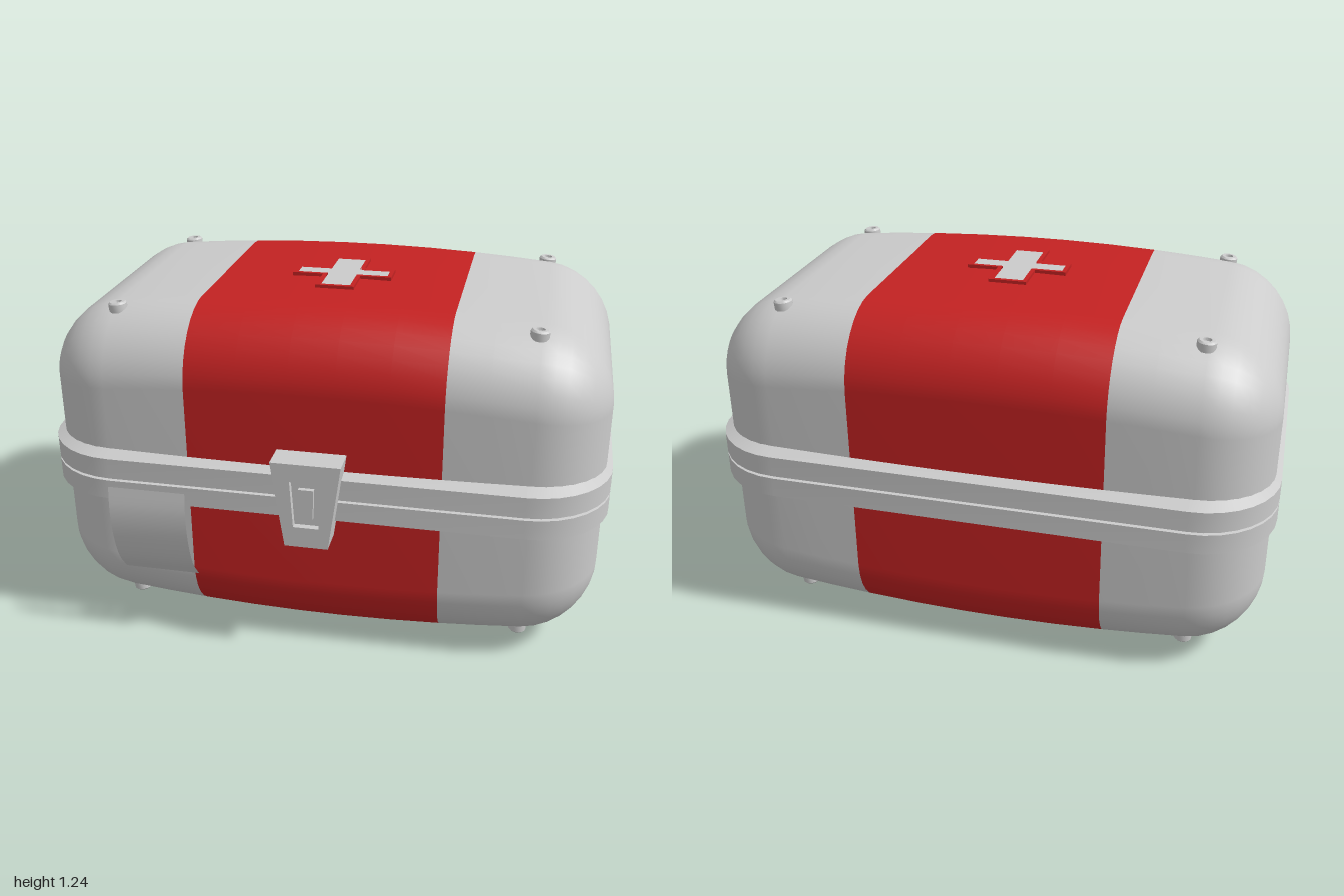
import * as THREE from 'three';
import { toCreasedNormals } from 'three/addons/utils/BufferGeometryUtils.js';

const CY = 0.6175, CZ = -0.034; // centre of the case
const grey = new THREE.MeshStandardMaterial({ color: 0xcccccc });
const sheet = new THREE.MeshStandardMaterial({ color: 0xcccccc, side: THREE.DoubleSide });
const red = new THREE.MeshStandardMaterial({ color: 0xc42222 });

function add(parent, name, geometry, material, x = 0, y = 0, z = 0) {
  const mesh = new THREE.Mesh(geometry, material);
  mesh.name = name;
  mesh.position.set(x, y, z);
  parent.add(mesh);
  return mesh;
}

// Counter-clockwise rounded rectangle as [u, v] pairs
function roundedRect(hu, hv, r, seg = 8) {
  const pts = [];
  [[1, 1], [-1, 1], [-1, -1], [1, -1]].forEach(([su, sv], c) => {
    for (let i = 0; i <= seg; i++) {
      const a = (c + i / seg) * Math.PI / 2;
      pts.push([su * (hu - r) + r * Math.cos(a), sv * (hv - r) + r * Math.sin(a)]);
    }
  });
  return pts;
}

// Skin over rings of [x, y, z] points, with optional closed ends
function loft(rings, capStart, capEnd) {
  const n = rings[0].length, pos = rings.flat(2), index = [];
  for (let k = 0; k < rings.length - 1; k++) {
    for (let i = 0; i < n; i++) {
      const a = k * n + i, b = k * n + (i + 1) % n;
      index.push(a, b, b + n, a, b + n, a + n);
    }
  }
  const cap = (k, flip) => {
    const c = pos.length / 3;
    pos.push(rings[k][0][0], 0, 0);
    for (let i = 0; i < n; i++) {
      const a = k * n + i, b = k * n + (i + 1) % n;
      index.push(c, flip ? b : a, flip ? a : b);
    }
  };
  if (capStart) cap(0, true);
  if (capEnd) cap(rings.length - 1, false);
  const g = new THREE.BufferGeometry();
  g.setAttribute('position', new THREE.Float32BufferAttribute(pos, 3));
  g.setIndex(index);
  g.computeVertexNormals();
  return g;
}

// Cross-section of the shell at x: bulged in the middle, rounded at the ends
function shellRing(x) {
  const W = 0.98, R = 0.25, over = Math.max(0, Math.abs(x) - (W - R));
  const r = Math.max(0.002, Math.sqrt(Math.max(0, R * R - over * over)));
  const inset = R - r;
  const ring = roundedRect(0.607 - 0.06 * x * x - inset, 0.607 - 0.02 * x * x - inset, r);
  return ring.map(([y, z]) => [x, y, z * (1 - 0.025 * (y / 0.6) ** 2)]);
}

// Plus-shaped outline
function plus(target, len, wx, wz) {
  [[wx, len], [wx, wz], [len, wz], [len, -wz], [wx, -wz], [wx, -len],
    [-wx, -len], [-wx, -wz], [-len, -wz], [-len, wz], [-wx, wz], [-wx, len]]
    .forEach(([x, y], i) => (i ? target.lineTo(x, y) : target.moveTo(x, y)));
  target.closePath();
  return target;
}

// Tapered latch outline
function trapezoid(target, top, bottom, yTop, yBottom) {
  target.moveTo(-bottom, yBottom);
  target.lineTo(bottom, yBottom);
  target.lineTo(top, yTop);
  target.lineTo(-top, yTop);
  target.closePath();
  return target;
}

const extrude = (shape, depth) =>
  new THREE.ExtrudeGeometry(shape, { depth, bevelEnabled: false });

export function createModel() {
  const model = new THREE.Group();
  model.name = 'firstAidCase';

  // Shell: coloured middle band and two grey ends
  const band = [-0.44, -0.26, -0.08, 0.08, 0.26, 0.44];
  add(model, 'middleBand', loft(band.map(shellRing)), red, 0, CY, CZ);
  const end = [0.44, 0.58, 0.73];
  for (let i = 1; i <= 8; i++) end.push(0.73 + 0.25 * Math.sin(i * Math.PI / 16));
  add(model, 'leftEnd', loft(end.map(shellRing), false, true), grey, 0, CY, CZ);
  const mirrored = end.map((x) => -x).reverse();
  add(model, 'rightEnd', loft(mirrored.map(shellRing), true, false), grey, 0, CY, CZ);

  // Rim around the middle with a narrow seam: [height, inset]
  const rim = [[0.518, 0.06], [0.542, 0], [0.613, 0], [0.615, 0.012],
    [0.621, 0.012], [0.623, 0], [0.697, 0], [0.724, 0.06]];
  const rimRings = rim.map(([y, d]) =>
    roundedRect(0.637 - d, 1 - d, 0.28 - d).map(([z, x]) => [x, y, z]));
  add(model, 'rim', toCreasedNormals(loft(rimRings), 0.4), grey, 0, 0, CZ);

  // Cross with raised border on the lid and underneath
  const border = plus(new THREE.Shape(), 0.18, 0.068, 0.05);
  border.holes.push(plus(new THREE.Path(), 0.165, 0.053, 0.036));
  const inner = plus(new THREE.Shape(), 0.165, 0.053, 0.036);
  for (const side of [1, -1]) {
    const cross = new THREE.Group();
    cross.name = side > 0 ? 'topCross' : 'bottomCross';
    cross.position.y = CY;
    cross.rotation.x = -side * Math.PI / 2;
    add(cross, 'crossBorder', extrude(border, 0.0275), red, 0, 0, 0.59);
    add(cross, 'crossPlate', extrude(inner, 0.022), grey, 0, 0, 0.59);
    model.add(cross);
  }

  // Round studs near the corners, top and bottom
  const studProfile = [[0.032, -0.02], [0.032, 0.008], [0.026, 0.014],
    [0.015, 0.014], [0.013, 0.004], [0, 0.004]].map((p) => new THREE.Vector2(...p));
  const studGeometry = toCreasedNormals(new THREE.LatheGeometry(studProfile, 16), 0.6);
  for (const sy of [1, -1]) for (const sx of [1, -1]) for (const sz of [1, -1]) {
    const stud = add(model, 'stud', studGeometry, grey, sx * 0.72, CY + sy * 0.568, CZ + sz * 0.42);
    stud.rotation.x = sy > 0 ? 0 : Math.PI;
    stud.rotation.z = -sx * sy * 0.08;
  }

  // Front latch with a recessed frame and a raised button
  const latch = new THREE.Group();
  latch.name = 'latch';
  const body = trapezoid(new THREE.Shape(), 0.12, 0.075, 0.776, 0.465);
  add(latch, 'latchBack', extrude(body, 0.08), grey, 0, 0, 0.565);
  body.holes.push(trapezoid(new THREE.Path(), 0.054, 0.044, 0.71, 0.54));
  add(latch, 'latchFace', extrude(body, 0.023), grey, 0, 0, 0.645);
  const button = trapezoid(new THREE.Shape(), 0.026, 0.022, 0.68, 0.57);
  add(latch, 'latchButton', extrude(button, 0.016), grey, 0, 0, 0.645);
  model.add(latch);

  // Thin curved pocket plate beside the latch
  const curve = new THREE.CatmullRomCurve3([[0.62, 0.658], [0.53, 0.666], [0.42, 0.654],
    [0.32, 0.62], [0.245, 0.565]].map(([y, z]) => new THREE.Vector3(0, y, z)));
  const plate = new THREE.PlaneGeometry(0.275, 1, 1, 12);
  const p = plate.attributes.position;
  for (let i = 0; i < p.count; i++) {
    const q = curve.getPoint(0.5 - p.getY(i));
    p.setXYZ(i, p.getX(i), q.y, q.z);
  }
  plate.computeVertexNormals();
  add(model, 'pocketPlate', plate, sheet, -0.5625, 0, 0);

  return model;
}
